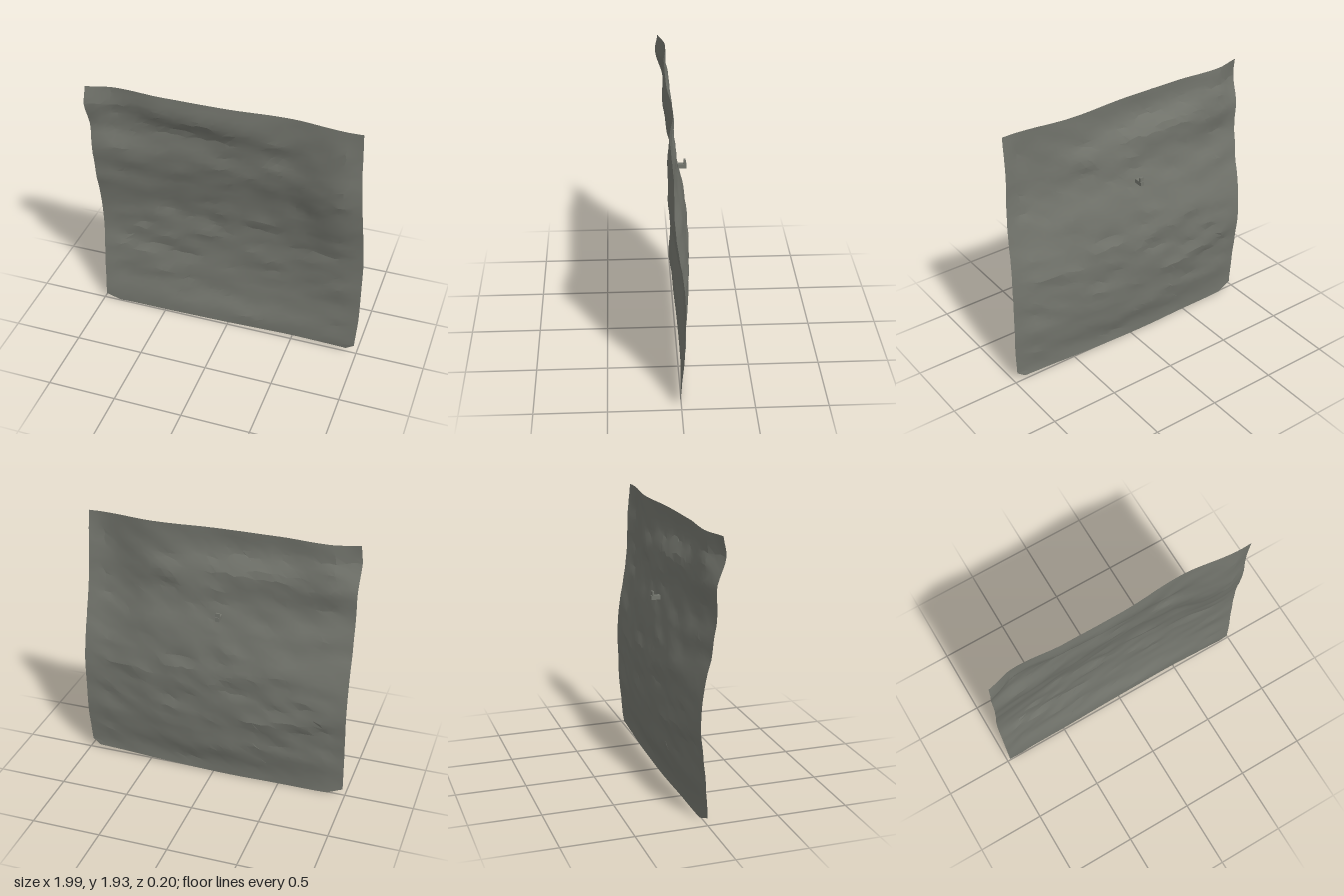
import * as THREE from 'three';
import { toCreasedNormals } from 'three/addons/utils/BufferGeometryUtils.js';

// Smooth cubic through values placed at the given stops
function spline(stops, values, p) {
  const last = stops.length - 1;
  let i = 0;
  while (i < last - 1 && p > stops[i + 1]) i++;
  const t = THREE.MathUtils.clamp((p - stops[i]) / (stops[i + 1] - stops[i]), 0, 1);
  const a = values[Math.max(i - 1, 0)], b = values[i], c = values[i + 1], d = values[Math.min(i + 2, last)];
  return b + 0.5 * t * (c - a + t * (2 * a - 5 * b + 4 * c - d + t * (3 * (b - c) + d - a)));
}

// Straight lookup through [position, value] pairs
function polyline(points, p) {
  if (p <= points[0][0]) return points[0][1];
  for (let i = 1; i < points.length; i++) {
    const [a, va] = points[i - 1], [b, vb] = points[i];
    if (p <= b) return THREE.MathUtils.mapLinear(p, a, b, va, vb);
  }
  return points[points.length - 1][1];
}

// Seeded lattice value noise in the range -1..1
function hash(i, j) {
  const s = Math.sin(i * 127.1 + j * 311.7 + 5.3) * 43758.5453;
  return (s - Math.floor(s)) * 2 - 1;
}
function noise(x, y) {
  const i = Math.floor(x), j = Math.floor(y);
  const u = THREE.MathUtils.smoothstep(x - i, 0, 1), v = THREE.MathUtils.smoothstep(y - j, 0, 1);
  const low = THREE.MathUtils.lerp(hash(i, j), hash(i + 1, j), u);
  const high = THREE.MathUtils.lerp(hash(i, j + 1), hash(i + 1, j + 1), u);
  return THREE.MathUtils.lerp(low, high, v);
}

// Drape of the sheet: depth in hundredths across the width, one row per height
const acrossX = [-1, -0.8, -0.45, 0, 0.45, 0.8, 1];
const drapeY = [0, 0.1, 0.25, 0.45, 0.65, 0.85, 1, 1.15, 1.3, 1.45, 1.6, 1.8, 1.94];
const drape = [
  [0.5, -1, -1.5, -2, -2, -1, 0],
  [0.5, -1, -2, -2.5, -2, -0.5, 0.5],
  [-0.5, -3, -5, -6, -4.5, -2, -0.5],
  [-2.5, -5, -7.5, -8.2, -6.5, -3.5, -2],
  [-4.5, -6, -8, -8.5, -7, -3.5, -2.5],
  [-4, -6, -8.2, -9.2, -7, -3, -2.5],
  [-2, -4, -6.5, -7.5, -5.5, -0.5, -1],
  [1.5, -1, -4, -5, -3, 3, 1],
  [3.5, 1, -1.5, -3, 0, 6.5, 3],
  [5, 3, 1, 0, 2.5, 8.5, 4],
  [4.5, 0.5, -0.5, 0.5, 2, 8, 3.5],
  [10, 3.5, 6, 6, 3.5, 7.5, 5],
  [8.5, 3.5, 5.5, 5.5, 3, 7, 7],
];

// Outline of the sheet
const leftEdge = [[0, -0.87], [0.04, -0.98], [1.6, -0.99], [1.8, -1], [1.94, -0.99]];
const rightEdge = [[0.03, 0.92], [0.07, 0.98], [0.3, 0.995], [0.8, 0.995], [1.2, 0.975],
  [1.6, 0.95], [1.94, 0.945]];

function depthAt(x, y) {
  const base = 0.01 * spline(drapeY, drape.map((row) => spline(acrossX, row, x)), y);
  // Long horizontal creases, finer wrinkles and faint rings around the middle
  const fade = Math.min(1, 0.2 + 4 * Math.min(y, 1.94 - y, 1 - Math.abs(x)));
  const creases = 0.009 * noise(x * 2.2 + 9, y * 8 + x * 1.2);
  const wrinkles = 0.008 * noise(x * 6 + 31, y * 14 - x * 2);
  const r = Math.hypot(x + 0.05, (y - 0.95) * 1.2);
  const rings = 0.006 * Math.cos(r * 24) * Math.exp(-r * 2);
  return base + (creases + wrinkles + rings) * fade;
}

function makeSheet() {
  const nx = 36, ny = 44;
  const geometry = new THREE.PlaneGeometry(1, 1, nx, ny);
  const pos = geometry.attributes.position;
  for (let k = 0; k < pos.count; k++) {
    const i = k % (nx + 1), j = Math.floor(k / (nx + 1));
    // Shift inner points a little so that the facets are irregular
    const inside = i > 0 && i < nx && j > 0 && j < ny;
    const u = (i + (inside ? 0.3 * hash(i, j + 70) : 0)) / nx;
    const v = 1 - (j + (inside ? 0.3 * hash(i + 90, j) : 0)) / ny;
    const hem = 0.03 * THREE.MathUtils.smoothstep(u, 0.35, 1);
    const y = THREE.MathUtils.lerp(hem, 1.935, v);
    const x = THREE.MathUtils.lerp(polyline(leftEdge, y), polyline(rightEdge, y), u);
    pos.setXYZ(k, x, y, depthAt(x, y));
  }
  return toCreasedNormals(geometry, 0.22);
}

export function createModel() {
  const group = new THREE.Group();
  const cloth = new THREE.MeshStandardMaterial({ color: 0x74766e, side: THREE.DoubleSide });
  cloth.name = 'grey cloth';

  const sheet = new THREE.Mesh(makeSheet(), cloth);
  sheet.name = 'wrinkledSheet';
  group.add(sheet);

  // Small hook behind the sheet, with its tip turned up
  const hook = new THREE.Group();
  hook.name = 'hangingHook';
  const addBox = (name, w, h, d, y, z) => {
    const mesh = new THREE.Mesh(new THREE.BoxGeometry(w, h, d), cloth);
    mesh.name = name;
    mesh.position.set(-0.05, y, z);
    hook.add(mesh);
  };
  addBox('hookPeg', 0.03, 0.03, 0.065, 1.315, -0.0525);
  addBox('hookTip', 0.03, 0.03, 0.014, 1.345, -0.072);
  group.add(hook);

  return group;
}
